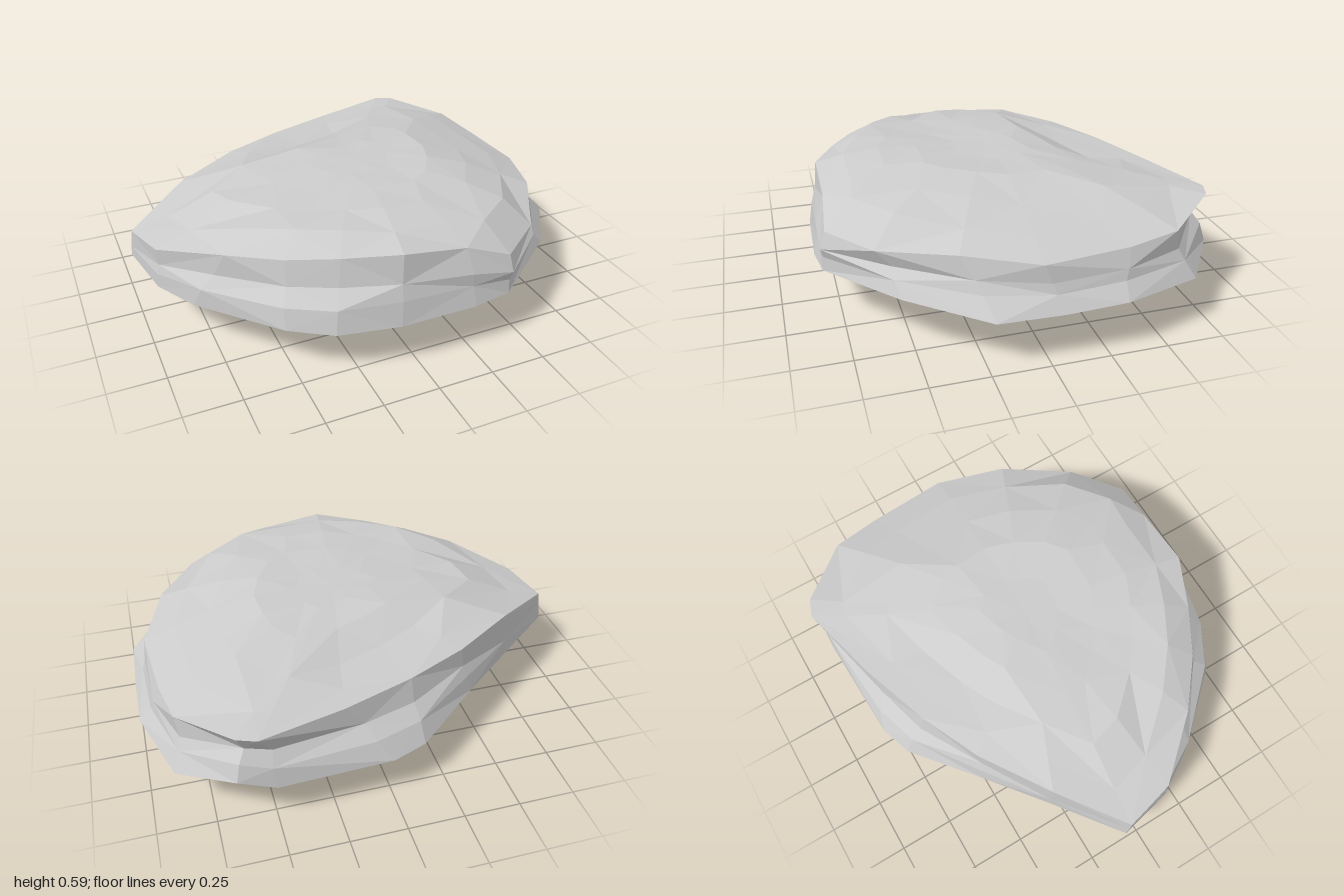
import * as THREE from 'three';

// Rim columns (x, z, y), running left-front-right-back as seen from above
const LOWER_RIM = [
  [-1, -0.09, 0.28], [-0.94, 0.17, 0.25], [-0.83, 0.35, 0.24], [-0.54, 0.68, 0.25], [-0.36, 0.78, 0.24],
  [-0.09, 0.83, 0.24], [0.25, 0.84, 0.25], [0.42, 0.82, 0.26], [0.77, 0.55, 0.28], [0.99, 0.23, 0.25],
  [1, -0.05, 0.25], [1, -0.31, 0.26], [0.89, -0.66, 0.25], [0.66, -0.82, 0.29], [0.5, -0.83, 0.23],
  [0, -0.81, 0.23], [-0.15, -0.76, 0.24], [-0.45, -0.52, 0.27], [-0.7, -0.32, 0.27],
];
const UPPER_RIM = [
  [-0.99, -0.07, 0.41], [-0.93, 0.16, 0.43], [-0.7, 0.41, 0.49], [-0.5, 0.57, 0.51], [-0.3, 0.68, 0.53],
  [-0.07, 0.78, 0.55], [0.22, 0.78, 0.51], [0.42, 0.8, 0.44], [0.64, 0.63, 0.44], [0.82, 0.33, 0.47],
  [0.93, 0.02, 0.44], [0.9, -0.35, 0.45], [0.86, -0.57, 0.47], [0.65, -0.81, 0.51], [0.57, -0.84, 0.51],
  [0.2, -0.74, 0.5], [-0.12, -0.63, 0.5], [-0.4, -0.5, 0.5], [-0.7, -0.3, 0.49],
];
// Ledge and groove between the rims, as a factor on the distance from the middle
const LEDGE = [1, 1, 1.02, 1.02, 1.02, 1, 1, 1, 0.98, 0.97, 0.98, 0.98, 0.98, 0.98, 0.98, 0.99, 1, 1, 1];
const GROOVE = [1, 0.99, 0.98, 0.97, 0.97, 0.99, 1.02, 1.02, 0.95, 0.97, 0.98, 0.99, 0.97, 0.94, 0.93, 0.94, 0.96, 0.98, 1];

// Height profiles of the top and the underside, along x, z or a diagonal
const TOP_X = [[-1, 0.41], [-0.7, 0.51], [-0.59, 0.56], [-0.4, 0.59], [0.2, 0.62], [0.43, 0.61], [0.57, 0.575], [0.93, 0.45]];
const TOP_Z = [[-0.83, 0.515], [-0.4, 0.575], [-0.17, 0.61], [0.47, 0.62], [0.73, 0.575], [0.79, 0.55]];
const LOW_X = [[-1, 0.28], [-0.83, 0.18], [-0.62, 0.12], [-0.43, 0.045], [0.13, 0], [0.5, 0.045], [0.7, 0.11], [0.93, 0.19], [1, 0.25]];
const LOW_Z = [[-0.84, 0.23], [-0.8, 0.17], [-0.47, 0.15], [-0.35, 0.02], [-0.2, 0], [-0.06, 0.01], [0.15, 0.065], [0.36, 0.075], [0.5, 0.14], [0.83, 0.24]];
const LOW_DIAGONAL = [[0.35, 0.02], [0.78, 0.18], [0.93, 0.27]];
// Forward shift of the step under the back, along x
const STEP_SHIFT = [[-0.3, 0], [0, 0.08], [0.5, 0.18]];

const { lerp: mix, clamp } = THREE.MathUtils;

function profile(points, v) {
  if (v <= points[0][0]) return points[0][1];
  for (let i = 1; i < points.length; i++) {
    const [a, ya] = points[i - 1], [b, yb] = points[i];
    if (v <= b) return ya + ((yb - ya) * (v - a)) / (b - a);
  }
  return points[points.length - 1][1];
}

function topHeight(x, z) {
  const chip = 0.008 * (1 + Math.sin(9 * x + 5 * z) * Math.cos(7 * z - 4 * x));
  // lower terrace at the back left, hollow at the front right
  const terrace = z < -0.41 - 0.4 * x ? 0.045 * clamp((0.4 - x) / 0.3, 0, 1) * clamp((x + 0.8) / 0.3, 0, 1) : 0;
  const hollow = 0.045 * Math.exp(-((x - 0.43) ** 2 + (z - 0.58) ** 2) / 0.03);
  return Math.min(profile(TOP_X, x), profile(TOP_Z, z)) - chip - terrace - hollow;
}

function lowHeight(x, z) {
  const shifted = z < 0 ? Math.max(z - profile(STEP_SHIFT, x), -0.84) : z;
  const back = z < -0.6 ? z : Math.max(shifted, -0.6);
  return Math.max(profile(LOW_X, x), profile(LOW_Z, back), profile(LOW_DIAGONAL, (Math.abs(x) + z) * Math.SQRT1_2));
}

function sideRing(t, factors) {
  return LOWER_RIM.map(([x, z, y], i) => {
    const [ux, uz, uy] = UPPER_RIM[i];
    return [mix(x, ux, t) * factors[i], mix(y, uy, t), mix(z, uz, t) * factors[i]];
  });
}

export function createModel() {
  const rings = [];
  // underside, from its lowest point out to the lower rim
  for (const t of [1, 0.78, 0.5, 0.15]) {
    rings.push(LOWER_RIM.map(([x, z]) => {
      const px = mix(x, 0.08, t), pz = mix(z, -0.15, t);
      return [px, lowHeight(px, pz), pz];
    }));
  }
  // side band: lower rim, ledge, groove, upper rim
  rings.push(LOWER_RIM.map(([x, z, y]) => [x, y, z]));
  rings.push(sideRing(0.35, LEDGE));
  rings.push(sideRing(0.58, GROOVE));
  rings.push(UPPER_RIM.map(([x, z, y]) => [x, y, z]));
  // top, from the upper rim in to the middle
  for (const s of [0.84, 0.64, 0.42, 0.2, 0]) {
    rings.push(UPPER_RIM.map(([x, z]) => {
      const px = mix(0.05, x, s), pz = z * s;
      return [px, topHeight(px, pz), pz];
    }));
  }

  // skin the rings, with fans at both ends
  const n = LOWER_RIM.length, last = rings.length - 2, position = [];
  for (let r = 0; r <= last; r++) {
    for (let i = 0; i < n; i++) {
      const j = (i + 1) % n;
      const a = rings[r][i], b = rings[r][j], c = rings[r + 1][j], d = rings[r + 1][i];
      if (r === 0) position.push(...a, ...c, ...d);
      else if (r === last) position.push(...a, ...b, ...c);
      else if ((i + r) % 2) position.push(...a, ...b, ...c, ...a, ...c, ...d);
      else position.push(...a, ...b, ...d, ...b, ...c, ...d);
    }
  }
  const geometry = new THREE.BufferGeometry();
  geometry.setAttribute('position', new THREE.Float32BufferAttribute(position, 3));
  geometry.computeVertexNormals();

  const rock = new THREE.Mesh(geometry, new THREE.MeshStandardMaterial({ color: 0xcccccc, flatShading: true }));
  rock.name = 'flatRock';
  const group = new THREE.Group();
  group.name = 'rock';
  group.add(rock);
  return group;
}
